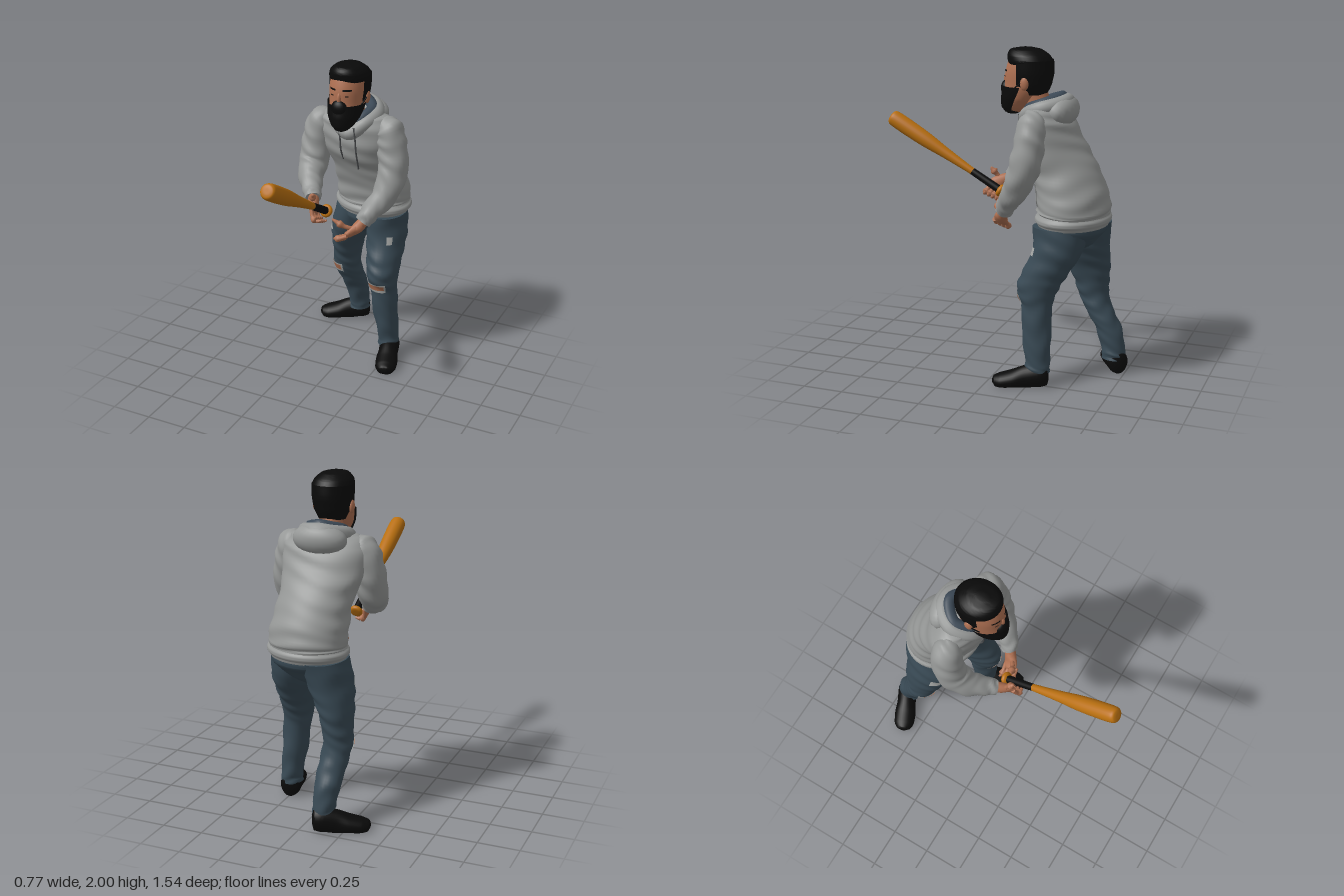
import * as THREE from 'three';
import { toCreasedNormals } from 'three/addons/utils/BufferGeometryUtils.js';

const mat = (name, color, open) => {
  const m = new THREE.MeshStandardMaterial({ color });
  m.name = name;
  if (open) m.side = THREE.DoubleSide;
  return m;
};

// Skin a row of sections [x, y, z, radiusU, radiusV, twist] with smooth rings.
// flat: rings stay horizontal (sections go downward, angle PI/2 is the front).
// t0, t1 pick a span of sections, arc a span of angles, off lifts the surface.
function loft(secs, o = {}) {
  const { flat = false, t0 = 0, t1 = secs.length - 1, arc, off = 0, fold = 0, sides = 28, per = 7, map } = o;
  const centre = new THREE.CatmullRomCurve3(secs.map(s => new THREE.Vector3(s[0], s[1], s[2])));
  const size = new THREE.CatmullRomCurve3(secs.map(s => new THREE.Vector3(s[3], s[4] ?? s[3], s[5] ?? 0)));
  const rows = Math.max(2, Math.ceil((t1 - t0) * per)), n = secs.length - 1;
  const [a0, a1] = arc ?? [0, Math.PI * 2];
  const pos = [], idx = [], w = sides + 1, centres = [];
  for (let i = 0; i <= rows; i++) {
    const t = t0 + (t1 - t0) * i / rows, c = centre.getPoint(t / n), s = size.getPoint(t / n);
    const T = flat ? new THREE.Vector3(0, -1, 0) : centre.getTangent(t / n);
    const U = new THREE.Vector3(1, 0, 0).addScaledVector(T, -T.x).normalize();
    const V = new THREE.Vector3().crossVectors(T, U);
    centres.push(c);
    for (let j = 0; j <= sides; j++) {
      const a = a0 + (a1 - a0) * j / sides;
      const wave = off + fold * Math.sin(t * 7 + 2 * Math.sin(a * 2 + t)) * Math.cos(a - 1 + t);
      const u = Math.max(s.x + wave, 0.002) * Math.cos(a), v = Math.max(s.y + wave, 0.002) * Math.sin(a);
      const cr = Math.cos(s.z), sr = Math.sin(s.z);
      const p = c.clone().addScaledVector(U, u * cr - v * sr).addScaledVector(V, u * sr + v * cr);
      if (map) map(p);
      pos.push(p.x, p.y, p.z);
    }
  }
  for (let i = 0; i < rows; i++) for (let j = 0; j < sides; j++) {
    const a = i * w + j, b = a + 1, c = a + w, d = c + 1;
    idx.push(a, b, c, b, d, c);
  }
  if (!arc) {
    const k = pos.length / 3, last = rows * w;
    for (const c of [centres[0], centres[rows]]) pos.push(c.x, c.y, c.z);
    for (let j = 0; j < sides; j++) idx.push(k, j + 1, j, k + 1, last + j, last + j + 1);
  }
  const g = new THREE.BufferGeometry();
  g.setAttribute('position', new THREE.Float32BufferAttribute(pos, 3));
  g.setIndex(idx);
  return toCreasedNormals(g, 1.0);
}

export function createModel() {
  const root = new THREE.Group();
  root.name = 'batter';
  const grey = mat('hoodieGrey', 0x969897, true), jeans = mat('denim', 0x394a55, true);
  const skin = mat('skin', 0xae7052, true), black = mat('black', 0x0a0a0a, true);
  const wood = mat('batWood', 0xb86f10), fray = mat('frayedThread', 0xa6a8a6, true);
  const lining = mat('hoodLining', 0x3b4855, true), cord = mat('cord', 0x4c4e50);
  const add = (name, geo, m, parent = root) => {
    const mesh = new THREE.Mesh(geo, m);
    mesh.name = name;
    parent.add(mesh);
    return mesh;
  };
  const ball = (name, m, p, s) => {
    const b = add(name, new THREE.SphereGeometry(1, 20, 14), m);
    b.position.set(...p);
    b.scale.set(...s);
    return b;
  };
  const tube = (name, pts, r, m, closed = false) => add(name, new THREE.TubeGeometry(
    new THREE.CatmullRomCurve3(pts.map(p => new THREE.Vector3(...p)), closed), 48, r, 12, closed), m);

  // Hoodie body, leaning forward, with hem and front pocket
  const body = [
    [0.02, 1.675, -0.27, 0.12, 0.07], [0.02, 1.65, -0.27, 0.215, 0.095], [0.02, 1.58, -0.285, 0.265, 0.14],
    [0.02, 1.44, -0.325, 0.25, 0.18, 0.03], [0.035, 1.3, -0.4, 0.225, 0.195, 0.15],
    [0.05, 1.17, -0.45, 0.237, 0.203, 0.25], [0.058, 1.07, -0.465, 0.245, 0.205, 0.28], [0.058, 1.04, -0.462, 0.24, 0.202, 0.28]];
  add('hoodieBody', loft(body, { flat: true, fold: 0.005, sides: 48 }), grey);
  add('hoodieHem', loft([[0.058, 1.05, -0.462, 0.235, 0.198, 0.28], [0.058, 1.038, -0.462, 0.241, 0.203, 0.28],
    [0.058, 0.99, -0.46, 0.241, 0.203, 0.28], [0.058, 0.975, -0.46, 0.235, 0.198, 0.28]], { flat: true, sides: 48 }), grey);
  add('frontPocket', loft(body, { flat: true, t0: 4.7, t1: 6.1, arc: [0.75, 2.1], off: 0.006, fold: 0.005 }), grey);

  // Hood lying on the back, its lining and draw cords
  const ring = (d, dy) => [[0.02, 1.56 + dy, -0.155 - d], [0.11 - d, 1.62 + dy, -0.19], [0.145 - d, 1.66 + dy, -0.28],
    [0.09 - d, 1.685 + dy, -0.375 + d], [0.02, 1.695 + dy, -0.395 + d], [-0.05 + d, 1.685 + dy, -0.375 + d],
    [-0.105 + d, 1.66 + dy, -0.28], [-0.07 + d, 1.62 + dy, -0.19]];
  tube('hoodRim', ring(0, 0), 0.046, grey, true);
  tube('hoodLining', ring(0.026, 0.026), 0.034, lining, true);
  ball('hoodPouch', grey, [0.02, 1.64, -0.375], [0.165, 0.095, 0.09]).rotation.x = -0.5;
  for (const [x, end] of [[0.07, 1.33], [-0.03, 1.38]])
    tube('drawCord', [[x, 1.61, -0.12], [x + 0.008, 1.53, -0.125], [x + 0.01, 1.45, -0.135], [x + 0.012, end, -0.17]], 0.005, cord);

  // Sleeves
  const sleeves = {
    leftSleeve: [[0.19, 1.635, -0.265, 0.04], [0.235, 1.585, -0.262, 0.086], [0.262, 1.48, -0.255, 0.093], [0.284, 1.34, -0.23, 0.092],
      [0.262, 1.2, -0.17, 0.078], [0.2, 1.1, -0.095, 0.06], [0.165, 1.04, -0.06, 0.05]],
    rightSleeve: [[-0.15, 1.63, -0.265, 0.04], [-0.2, 1.58, -0.255, 0.085], [-0.23, 1.46, -0.245, 0.093], [-0.237, 1.32, -0.205, 0.092],
      [-0.215, 1.24, -0.12, 0.076], [-0.16, 1.19, -0.03, 0.057], [-0.13, 1.17, 0.02, 0.047]] };
  for (const name in sleeves) add(name, loft(sleeves[name], { fold: 0.005 }), grey);

  // Left hand, open with fingers relaxed
  const finger = (name, pts, r) => add(name, loft(pts.map((p, i) =>
    [...p, i === pts.length - 1 ? r * 0.45 : r]), { sides: 10, per: 5 }), skin);
  add('leftPalm', loft([[0.175, 1.055, -0.07, 0.032], [0.145, 1.01, -0.045, 0.034], [0.115, 0.98, -0.025, 0.025, 0.045],
    [0.085, 0.955, -0.015, 0.02, 0.045], [0.075, 0.948, -0.012, 0.008, 0.03]], { sides: 18 }), skin);
  for (let i = 0; i < 4; i++) {
    const z = -0.05 + i * 0.025;
    finger('leftFinger', [[0.1, 0.965, z], [0.066, 0.935 + i * 0.005, z + 0.005], [0.035 - i * 0.003, 0.912 + i * 0.008, z + 0.005],
      [0.018 - i * 0.002, 0.91 + i * 0.008, z]], 0.0125);
  }
  finger('leftThumb', [[0.125, 1.0, -0.02], [0.075, 1.02, 0.01], [0.035, 1.045, 0.025], [0.005, 1.065, 0.035]], 0.014);

  // Right hand, loosely under the bat handle
  add('rightPalm', loft([[-0.14, 1.175, 0.0, 0.034], [-0.115, 1.16, 0.045, 0.032, 0.038], [-0.09, 1.14, 0.08, 0.024, 0.045],
    [-0.08, 1.125, 0.11, 0.014, 0.035]], { sides: 18 }), skin);
  for (let i = 0; i < 4; i++) {
    const z = 0.04 + i * 0.025, y = 1.11 + (z - 0.03) * 0.4;
    finger('rightFinger', [[-0.092, y + 0.01, z], [-0.078, y - 0.036, z + 0.018], [-0.052, y - 0.058, z + 0.026],
      [-0.018, y - 0.052, z + 0.022]], 0.013);
  }
  finger('rightThumb', [[-0.11, 1.165, 0.06], [-0.1, 1.2, 0.085], [-0.092, 1.225, 0.105], [-0.086, 1.24, 0.115]], 0.014);

  // Bat
  const bat = new THREE.Group();
  bat.name = 'bat';
  bat.position.set(-0.035, 1.11, 0.03);
  bat.rotation.x = Math.PI / 2 - 0.52;
  root.add(bat);
  const lathe = pts => new THREE.LatheGeometry(new THREE.SplineCurve(pts.map(p => new THREE.Vector2(...p))).getPoints(48), 28);
  add('batBarrel', lathe([[0.021, 0.21], [0.025, 0.29], [0.034, 0.43], [0.046, 0.57], [0.05, 0.71], [0.049, 0.8],
    [0.042, 0.828], [0.025, 0.836], [0.001, 0.837]]), wood, bat);
  add('batGrip', new THREE.CylinderGeometry(0.022, 0.024, 0.21, 20).translate(0, 0.11, 0), black, bat);
  add('batKnob', lathe([[0.001, -0.012], [0.03, -0.01], [0.04, 0.003], [0.035, 0.016], [0.02, 0.024]]), wood, bat);

  // Jeans: seat and legs, with torn thighs and knees
  add('jeansSeat', loft([[0.058, 1.02, -0.46, 0.232, 0.194, 0.28], [0.058, 0.96, -0.46, 0.234, 0.196, 0.28],
    [0.055, 0.9, -0.45, 0.18, 0.165, 0.2], [0.04, 0.85, -0.445, 0.1, 0.125], [0.035, 0.82, -0.44, 0.05, 0.08]], { flat: true }), jeans);
  const legs = {
    left: [[0.17, 0.98, -0.42, 0.125, 0.168], [0.18, 0.83, -0.4, 0.126, 0.15], [0.195, 0.7, -0.335, 0.11, 0.14],
      [0.205, 0.6, -0.29, 0.097, 0.128], [0.212, 0.5, -0.288, 0.084, 0.094], [0.23, 0.3, -0.295, 0.076, 0.087],
      [0.247, 0.14, -0.305, 0.064, 0.075], [0.248, 0.09, -0.305, 0.066, 0.075]],
    right: [[-0.05, 0.98, -0.48, 0.135, 0.187], [-0.09, 0.83, -0.475, 0.13, 0.167], [-0.13, 0.7, -0.5, 0.105, 0.14],
      [-0.15, 0.58, -0.52, 0.09, 0.11], [-0.157, 0.48, -0.535, 0.086, 0.093], [-0.147, 0.38, -0.58, 0.084, 0.084],
      [-0.14, 0.27, -0.64, 0.078, 0.08], [-0.13, 0.14, -0.672, 0.066, 0.073], [-0.13, 0.09, -0.675, 0.068, 0.073]] };
  const tears = { left: { thigh: [0.8, 1.15, 0.85, 1.12], knee: [3.4, 4.0, 0.95, 2.4] },
    right: { thigh: [0.95, 1.35, 2.3, 2.75], knee: [3.7, 4.35, 1.5, 2.9] } };
  for (const side in legs) {
    const patch = (name, [t0, t1, a0, a1], off, m) => add(side + name, loft(legs[side],
      { flat: true, fold: 0.004, t0, t1, arc: [a0, a1], off, sides: 10, per: 16 }), m);
    add(side + 'JeansLeg', loft(legs[side], { flat: true, fold: 0.004 }), jeans);
    const { thigh, knee: [t0, t1, a0, a1] } = tears[side];
    patch('ThighTear', thigh, 0.004, fray);
    patch('KneeFray', [t0, t1, a0, a1], 0.004, fray);
    patch('KneeSkin', [t0 + 0.08, t1 - 0.16, a0 + 0.12, a1 - 0.15], 0.007, skin);
  }

  // Shoes, flat underneath, pointing outward
  const shoe = loft([[0, 0.07, -0.055, 0.02, 0.03], [0, 0.07, -0.045, 0.05, 0.065], [0, 0.07, 0, 0.064, 0.075],
    [0, 0.055, 0.08, 0.062, 0.072], [0, 0.04, 0.16, 0.07, 0.056], [0, 0.03, 0.23, 0.066, 0.046],
    [0, 0.025, 0.27, 0.044, 0.034], [0, 0.022, 0.283, 0.01, 0.01]], { map: p => { p.y = Math.max(p.y, 0); } });
  for (const [name, x, z, turn] of [['leftShoe', 0.25, -0.32, 0.3], ['rightShoe', -0.125, -0.7, -1.13]]) {
    const s = add(name, shoe, black);
    s.position.set(x, 0, z);
    s.rotation.y = turn;
  }

  // Neck and head
  add('neck', loft([[0.02, 1.76, -0.2, 0.07], [0.02, 1.68, -0.22, 0.07, 0.075], [0.02, 1.58, -0.25, 0.08]]), skin);
  const head = [[0.02, 1.965, -0.165, 0.05, 0.07], [0.02, 1.93, -0.168, 0.1, 0.123], [0.02, 1.85, -0.166, 0.111, 0.143],
    [0.02, 1.77, -0.15, 0.106, 0.132], [0.02, 1.7, -0.115, 0.09, 0.108], [0.02, 1.645, -0.085, 0.058, 0.076],
    [0.02, 1.615, -0.07, 0.028, 0.04]];
  add('face', loft(head, { flat: true, sides: 36 }), skin);
  add('hairTop', loft([[0.022, 2.0, -0.15, 0.025, 0.035], [0.022, 1.988, -0.148, 0.075, 0.092], [0.022, 1.955, -0.163, 0.113, 0.126],
    [0.022, 1.92, -0.176, 0.123, 0.135], [0.022, 1.905, -0.18, 0.118, 0.133]], { flat: true, sides: 36 }), black);
  add('hairBack', loft([[0.022, 1.93, -0.178, 0.123, 0.135], [0.022, 1.86, -0.178, 0.121, 0.138], [0.022, 1.79, -0.173, 0.112, 0.13],
    [0.02, 1.73, -0.18, 0.085, 0.095]], { flat: true, arc: [Math.PI - 0.4, Math.PI * 2 + 0.4] }), black);

  // Face mask with a raised nose bridge
  add('mask', loft(head, { flat: true, t0: 2.95, t1: 6, arc: [0.04, Math.PI - 0.04], off: 0.012, sides: 30 }), black);
  ball('maskBridge', black, [0.02, 1.755, -0.028], [0.05, 0.05, 0.035]);
  ball('maskChin', black, [0.02, 1.625, -0.065], [0.04, 0.023, 0.048]);
  ball('nose', skin, [0.02, 1.81, -0.028], [0.014, 0.04, 0.018]);
  for (const s of [-1, 1]) {
    const plate = (name, t0, t1, near, far) => add(name, loft(head, { flat: true, t0, t1, off: 0.003, sides: 8,
      arc: [Math.PI / 2 - s * (s > 0 ? far : near), Math.PI / 2 - s * (s > 0 ? near : far)] }), black);
    ball('ear', skin, [0.02 + s * 0.113, 1.8, -0.175], [0.016, 0.04, 0.026]);
    tube('maskStrap', [[0.02 + s * 0.106, 1.77, -0.11], [0.02 + s * 0.117, 1.8, -0.15], [0.02 + s * 0.118, 1.83, -0.18]], 0.004, black);
    plate('eye', 2.2, 2.28, 0.34, 0.52);
    plate('eyebrow', 1.75, 1.87, 0.2, 0.66);
  }
  return root;
}
